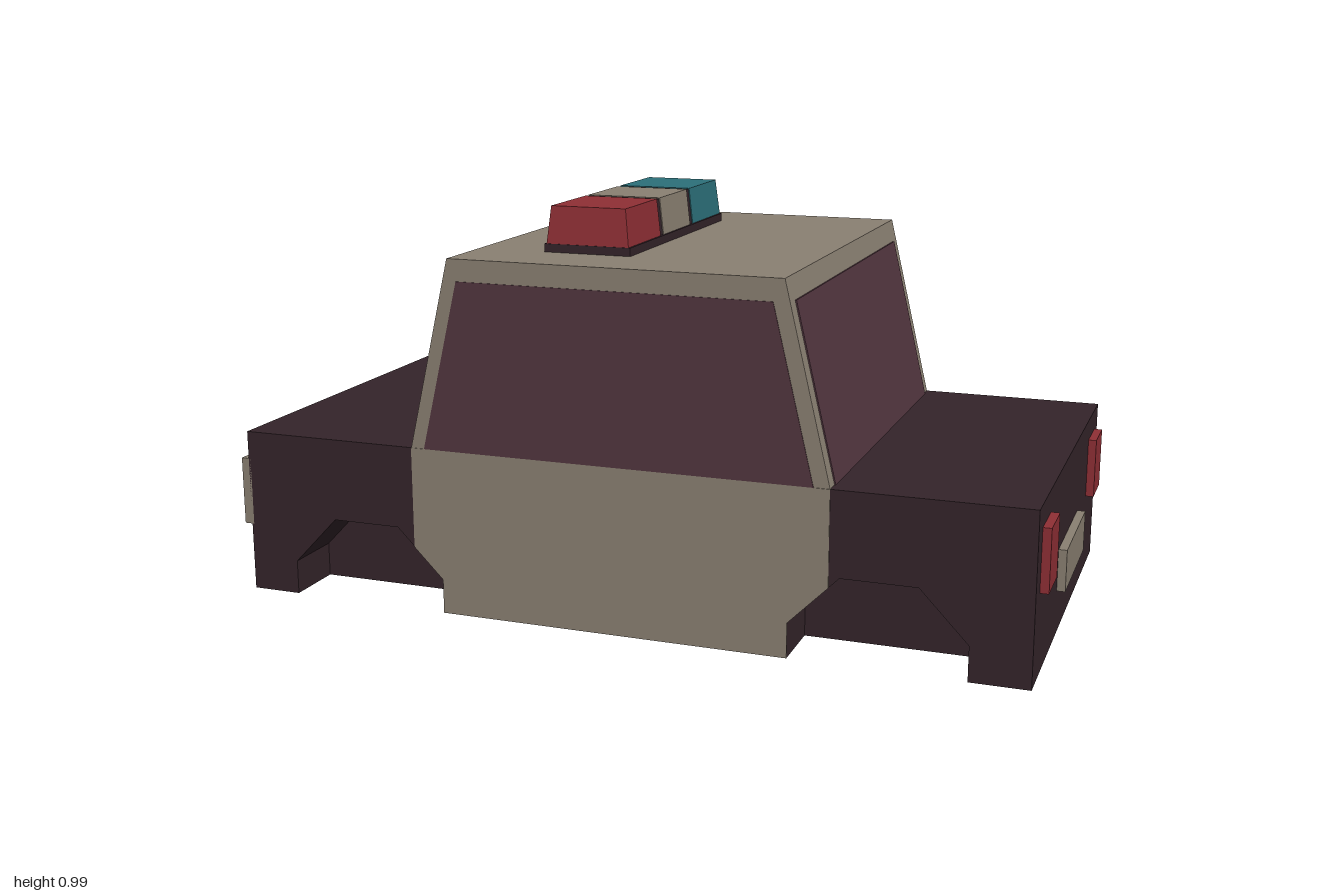
import * as THREE from 'three';

const paint = (color) => new THREE.MeshStandardMaterial({ color, flatShading: true });
const DARK = paint(0x34242a), BEIGE = paint(0x8a8072), GLASS = paint(0x52353f);
const RED = paint(0x8f2f35), TEAL = paint(0x2c707a);

const HALF = 0.505; // half width of the car
const DECK = 0.41;  // height of bonnet and boot

export function createModel() {
  const car = new THREE.Group();
  car.name = 'car';

  const add = (name, geometry, material) => {
    const mesh = new THREE.Mesh(geometry, material);
    mesh.name = name;
    car.add(mesh);
    return mesh;
  };

  // Six-sided block with separate x and z ranges for its bottom and top
  const block = (name, material, [y0, y1], xBottom, zBottom, xTop = xBottom, zTop = zBottom) => {
    const g = new THREE.BoxGeometry(1, 1, 1);
    const p = g.attributes.position;
    for (let i = 0; i < p.count; i++) {
      const up = p.getY(i) > 0;
      const x = (up ? xTop : xBottom)[p.getX(i) > 0 ? 1 : 0];
      const z = (up ? zTop : zBottom)[p.getZ(i) > 0 ? 1 : 0];
      p.setXYZ(i, x, up ? y1 : y0, z);
    }
    g.computeVertexNormals();
    return add(name, g, material);
  };

  // Side profile extruded across the car between z0 and z1
  const slab = (name, material, points, z0, z1) => {
    const shape = new THREE.Shape(points.map(([x, y]) => new THREE.Vector2(x, y)));
    const g = new THREE.ExtrudeGeometry(shape, { depth: z1 - z0, bevelEnabled: false });
    g.translate(0, 0, z0);
    return add(name, g, material);
  };

  // Wheel arches, each listed from -x to +x
  const frontArch = [[-0.855, 0], [-0.855, 0.085], [-0.74, 0.205], [-0.565, 0.205], [-0.445, 0.085], [-0.445, 0]];
  const rearArch = [[0.425, 0], [0.425, 0.085], [0.545, 0.205], [0.725, 0.205], [0.84, 0.085], [0.84, 0]];

  // Lower body with arches, closed between the wheel wells
  slab('lowerBody', DARK,
    [[-0.98, 0], ...frontArch, ...rearArch, [0.98, 0], [0.98, DECK], [-0.98, DECK]], -HALF, HALF);
  slab('frontWheelWells', DARK, frontArch, -0.355, 0.355);
  slab('rearWheelWells', DARK, rearArch, -0.355, 0.355);

  // Cabin with sloped ends and upright sides
  block('cabin', BEIGE, [DECK, 0.875], [-0.52, 0.52], [-HALF, HALF], [-0.41, 0.41]);

  // Door panels and side windows
  const door = [[-0.445, 0], [0.425, 0], [0.425, 0.085], [0.52, 0.18],
    [0.52, DECK], [-0.52, DECK], [-0.52, 0.16], [-0.445, 0.085]];
  for (const s of [1, -1]) {
    const side = s > 0 ? 'left' : 'right';
    const z = s > 0 ? [HALF - 0.004, HALF + 0.002] : [-HALF - 0.002, -HALF + 0.004];
    slab(side + 'DoorPanel', BEIGE, door, ...z);
    block(side + 'SideWindow', GLASS, [DECK, 0.822], [-0.485, 0.482], z, [-0.387, 0.384]);
  }

  // Windscreen and rear window, lying on the cabin slopes
  block('windscreen', GLASS, [DECK, 0.822], [-0.523, -0.515], [-0.468, 0.468], [-0.426, -0.418]);
  block('rearWindow', GLASS, [DECK, 0.822], [0.515, 0.523], [-0.468, 0.468], [0.418, 0.426]);

  // Lamps, grille and number plates
  const nose = [-1, -0.975], tail = [0.975, 1];
  for (const s of [1, -1]) {
    const span = (a, b) => (s > 0 ? [a, b] : [-b, -a]);
    block('headlight', BEIGE, [0.17, 0.34], nose, span(0.26, HALF));
    block('tailLight', RED, [0.205, 0.355], tail, span(0.33, 0.45));
  }
  block('grille', DARK, [0.17, 0.34], nose, [-0.26, 0.26]);
  block('frontPlate', BEIGE, [0.037, 0.137], nose, [-0.163, 0.163]);
  block('rearPlate', BEIGE, [0.113, 0.215], tail, [-0.163, 0.163]);

  // Roof light bar: base, three lenses and two dividers
  const lensY = [0.895, 0.985], xLow = [-0.232, -0.023], xHigh = [-0.222, -0.033];
  block('lightBarBase', DARK, [0.875, 0.895], [-0.237, -0.018], [-0.335, 0.335]);
  block('redLens', RED, lensY, xLow, [0.118, 0.333], xHigh, [0.118, 0.325]);
  block('middleLens', BEIGE, lensY, xLow, [-0.096, 0.098], xHigh);
  block('blueLens', TEAL, lensY, xLow, [-0.333, -0.116], xHigh, [-0.325, -0.116]);
  for (const z of [[0.098, 0.118], [-0.116, -0.096]]) {
    block('lensDivider', DARK, [0.895, 0.983], [-0.23, -0.025], z, [-0.22, -0.035]);
  }

  return car;
}
